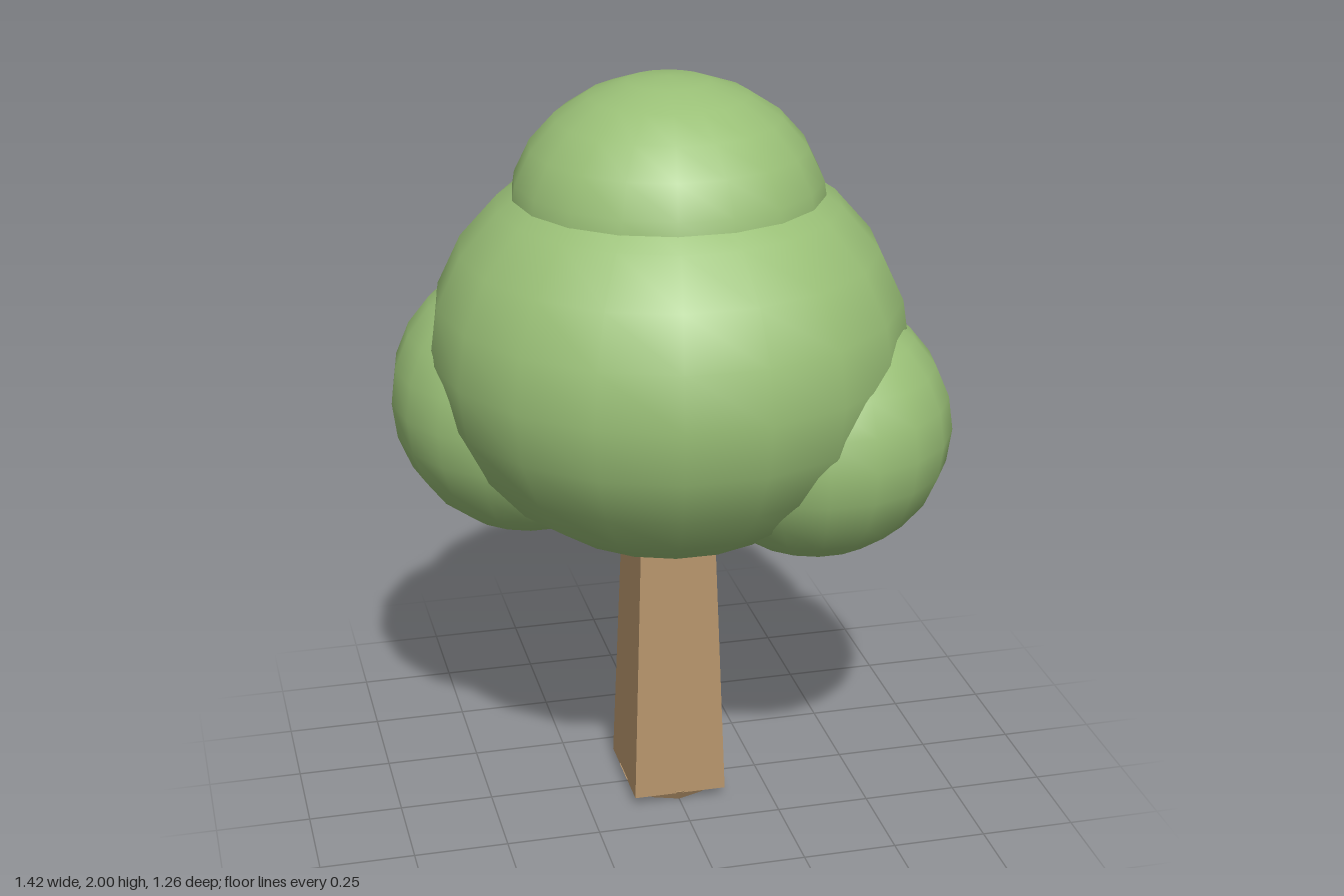
import * as THREE from 'three';

export function createModel() {
  const tree = new THREE.Group();
  tree.name = 'tree';

  const leaf = new THREE.MeshStandardMaterial({ color: 0x9ac077 });
  leaf.name = 'leaf green';
  const bark = new THREE.MeshStandardMaterial({ color: 0xb5946b });
  bark.name = 'bark brown';

  const add = (name, geometry, material) => {
    const mesh = new THREE.Mesh(geometry, material);
    mesh.name = name;
    tree.add(mesh);
  };

  // Square tapering trunk, running up into the crown
  const trunk = new THREE.CylinderGeometry(0.097 * Math.SQRT2, 0.126 * Math.SQRT2, 0.87, 4)
    .rotateY(Math.PI / 4)
    .scale(1, 1, 1.12)
    .translate(0, 0.46, 0)
    .toNonIndexed();
  trunk.computeVertexNormals();
  add('trunk', trunk, bark);

  // Rounded foot, slightly inset under the trunk
  const foot = new THREE.CylinderGeometry(0.135, 0.12, 0.03, 10)
    .scale(1, 1, 1.08)
    .translate(0, 0.015, 0)
    .toNonIndexed();
  foot.computeVertexNormals();
  add('trunkFoot', foot, bark);

  // Foliage lobes: centre, then radii
  const lobes = [
    ['mainCrown', [0, 1.29, 0], [0.625, 0.545, 0.635]],
    ['topCrown', [0, 1.65, 0], [0.41, 0.35, 0.41]],
    ['leftLobe', [0.345, 1.1, 0.17], [0.36, 0.345, 0.37]],
    ['rightLobe', [-0.35, 1.13, -0.14], [0.36, 0.365, 0.38]],
    ['backLobe', [0.05, 1.07, -0.29], [0.35, 0.33, 0.35]],
  ];
  for (const [name, centre, radii] of lobes) {
    const lobe = new THREE.SphereGeometry(1, 18, 12).scale(...radii).translate(...centre);
    add(name, lobe, leaf);
  }

  return tree;
}
